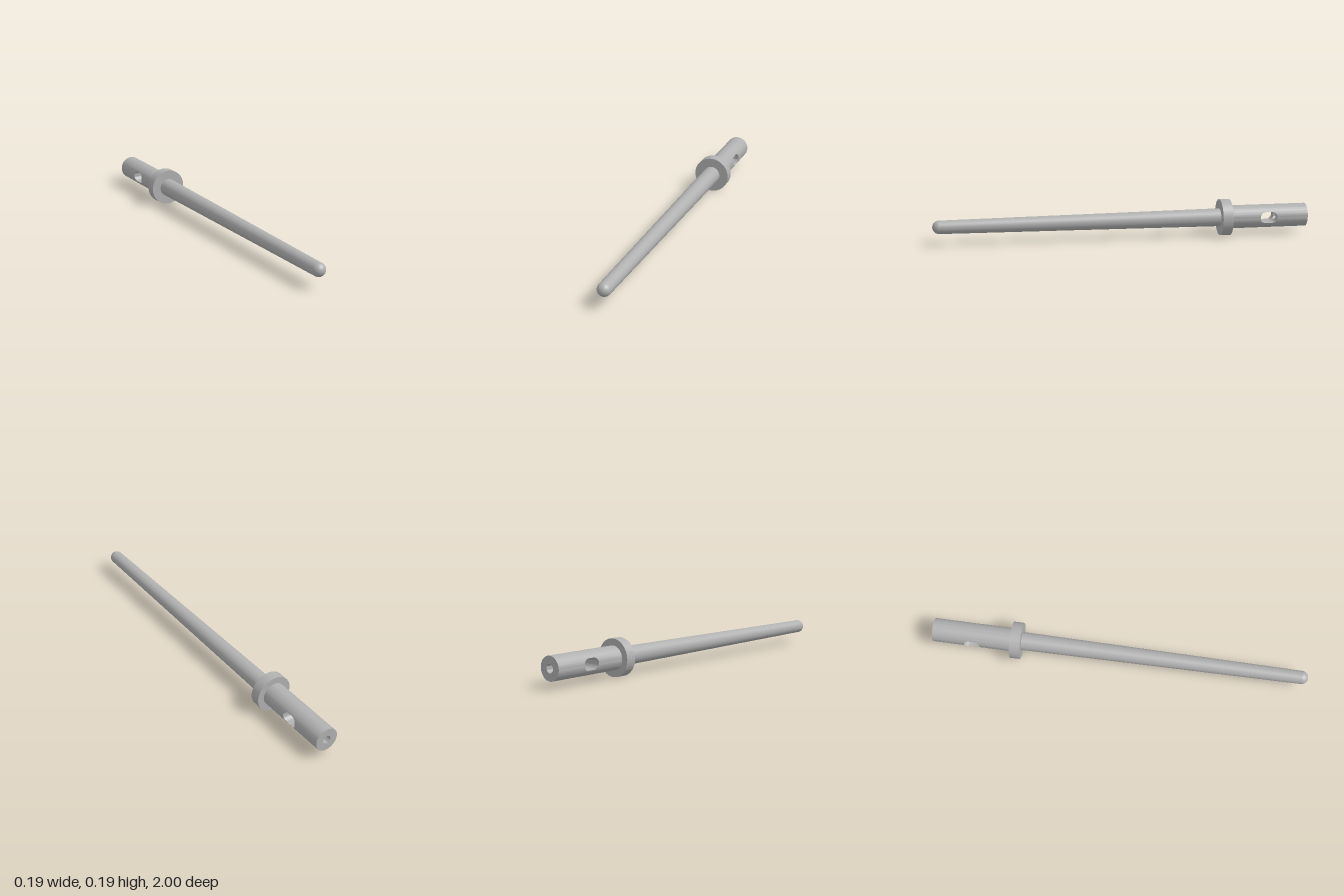
import * as THREE from 'three';
import { mergeGeometries, toCreasedNormals } from 'three/addons/utils/BufferGeometryUtils.js';

const AXIS_Y = 0.097, SEG = 64;
const TAIL_R = 0.062, TAIL_FRONT = -0.58, TAIL_END = -1;
const SLOT_Z = -0.785, SLOT_R = 0.03, SLOT_HALF = 0.017, BORE_R = 0.022;

// Ruled surface between curves f(t) and g(t), t running from t0 to t1
function strip(n, t0, t1, f, g) {
  const pos = [];
  for (let i = 0; i < n; i++) {
    const a = t0 + (t1 - t0) * i / n, b = t0 + (t1 - t0) * (i + 1) / n;
    pos.push(...f(a), ...g(a), ...f(b), ...g(a), ...g(b), ...f(b));
  }
  const geo = new THREE.BufferGeometry();
  geo.setAttribute('position', new THREE.Float32BufferAttribute(pos, 3));
  return geo;
}

// Round tail with a rounded slot through it sideways and a bore from the end
function tailGeometry() {
  const ring = (r, a, z) => [r * Math.cos(a), r * Math.sin(a), z];
  const reach = y => SLOT_HALF + Math.sqrt(Math.max(0, SLOT_R ** 2 - y ** 2));
  const front = y => SLOT_Z + reach(y), back = y => SLOT_Z - reach(y);
  const halfX = y => Math.sqrt(TAIL_R ** 2 - y ** 2);
  const slotY = t => SLOT_R * Math.sin(t);
  const H = Math.PI / 2, open = Math.asin(SLOT_R / TAIL_R), cut = Math.asin(BORE_R / SLOT_R);
  const parts = [];

  // Outer skin: two plain sides, then the skin before and behind each slot mouth
  for (const turn of [0, Math.PI]) {
    parts.push(strip(24, turn + open, turn + Math.PI - open,
      a => ring(TAIL_R, a, TAIL_FRONT), a => ring(TAIL_R, a, TAIL_END)));
    const angle = t => turn + Math.asin(slotY(t) / TAIL_R);
    parts.push(
      strip(24, -H, H, t => ring(TAIL_R, angle(t), TAIL_FRONT), t => ring(TAIL_R, angle(t), front(slotY(t)))),
      strip(24, -H, H, t => ring(TAIL_R, angle(t), back(slotY(t))), t => ring(TAIL_R, angle(t), TAIL_END)));
    // Skin-free gap between the two slot ends is closed by the flat slot walls
    const s = turn ? -1 : 1, x = halfX(SLOT_R);
    parts.push(strip(1, SLOT_Z - SLOT_HALF, SLOT_Z + SLOT_HALF,
      z => [-s * x, s * SLOT_R, z], z => [s * x, s * SLOT_R, z]));
  }

  // Curved slot ends; the rear one is pierced by the bore
  const wall = (x, t, end) => [x, slotY(t), end(slotY(t))];
  const outer = t => halfX(slotY(t));
  const boreX = t => Math.sqrt(Math.max(0, BORE_R ** 2 - slotY(t) ** 2));
  parts.push(
    strip(24, -H, H, t => wall(outer(t), t, front), t => wall(-outer(t), t, front)),
    strip(8, -H, -cut, t => wall(-outer(t), t, back), t => wall(outer(t), t, back)),
    strip(8, cut, H, t => wall(-outer(t), t, back), t => wall(outer(t), t, back)),
    strip(24, -cut, cut, t => wall(-outer(t), t, back), t => wall(-boreX(t), t, back)),
    strip(24, -cut, cut, t => wall(boreX(t), t, back), t => wall(outer(t), t, back)));

  // Bore and the ring-shaped end face
  parts.push(
    strip(SEG, 0, 2 * Math.PI, a => ring(BORE_R, a, TAIL_END),
      a => ring(BORE_R, a, back(BORE_R * Math.sin(a)))),
    strip(SEG, 0, 2 * Math.PI, a => ring(TAIL_R, a, TAIL_END), a => ring(BORE_R, a, TAIL_END)));
  return toCreasedNormals(mergeGeometries(parts), 0.6);
}

export function createModel() {
  const group = new THREE.Group();
  group.name = 'contactPin';
  const metal = new THREE.MeshStandardMaterial({ color: 0xb0b0b0 });
  metal.name = 'greyMetal';

  const add = (name, geo, z) => {
    const mesh = new THREE.Mesh(geo, metal);
    mesh.name = name;
    mesh.position.set(0, AXIS_Y, z);
    group.add(mesh);
  };

  // Tapered rod with a round tip
  const tipR = 0.035, tipZ = 1 - tipR, collarFront = -0.525;
  const rodLength = tipZ - collarFront;
  add('rod', new THREE.CylinderGeometry(tipR, 0.048, rodLength, SEG, 1, true).rotateX(Math.PI / 2),
    (tipZ + collarFront) / 2);
  add('tip', new THREE.SphereGeometry(tipR, SEG, 16, 0, Math.PI * 2, 0, Math.PI / 2).rotateX(Math.PI / 2), tipZ);

  // Collar
  add('collar', new THREE.CylinderGeometry(AXIS_Y, AXIS_Y, collarFront - TAIL_FRONT, SEG).rotateX(Math.PI / 2),
    (collarFront + TAIL_FRONT) / 2);

  add('tail', tailGeometry(), 0);
  return group;
}
